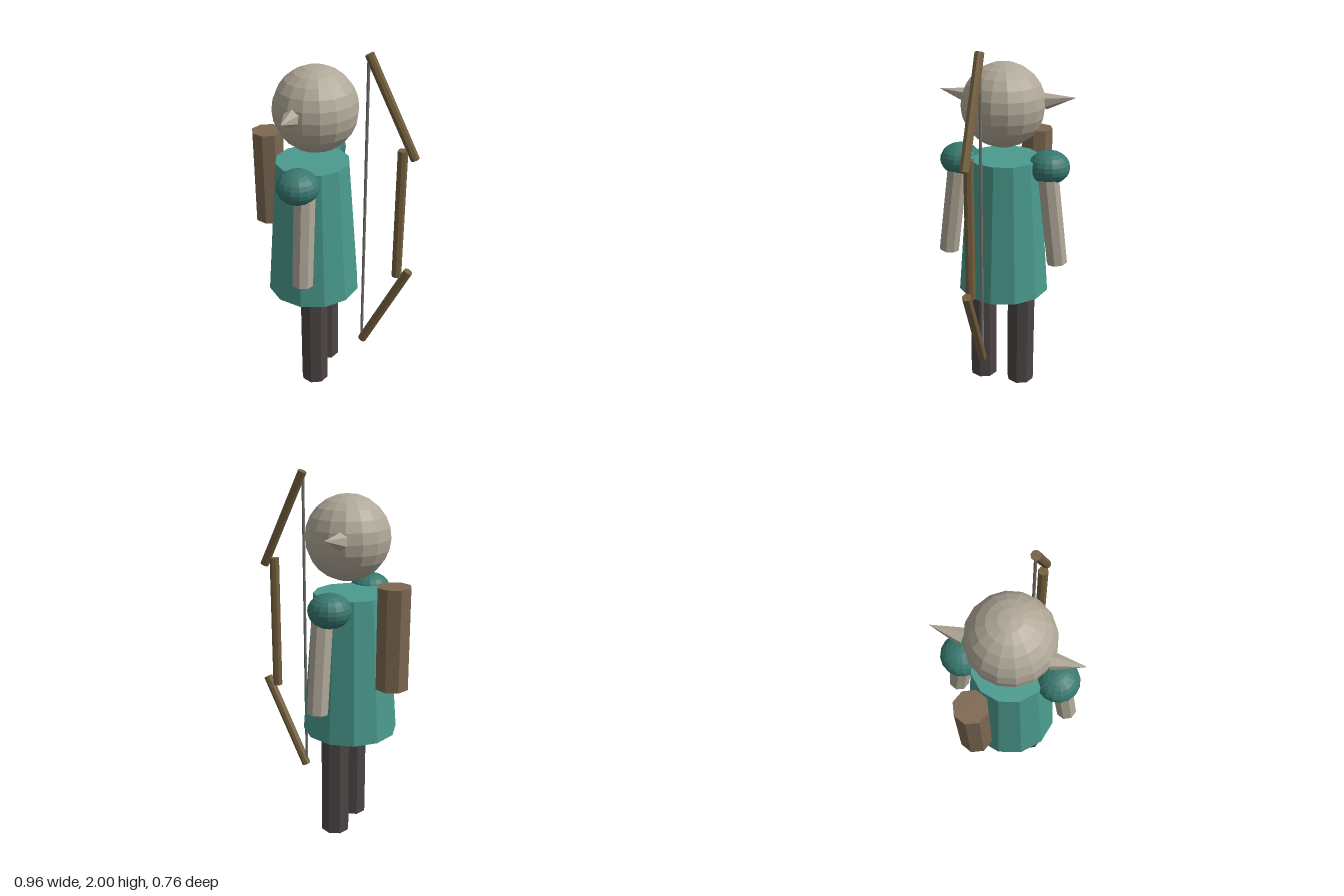
import * as THREE from 'three';

export function createModel() {
  const model = new THREE.Group();
  const material = (color) => new THREE.MeshStandardMaterial({ color, flatShading: true });
  const bone = material(0xb0a898);
  const teal = material(0x4a9a8e);
  const darkTeal = material(0x38786f);
  const charcoal = material(0x4c4644);
  const leather = material(0x7c6852);
  const wood = material(0x75603f);
  const cord = material(0x77736c);

  function add(name, geometry, mat, x, y, z) {
    const mesh = new THREE.Mesh(geometry, mat);
    mesh.name = name;
    mesh.position.set(x, y, z);
    model.add(mesh);
    return mesh;
  }

  // Cylinder or cone running from point a to point b
  function rod(name, a, b, mat, radiusA, radiusB = radiusA, sides = 8) {
    const start = new THREE.Vector3(...a);
    const end = new THREE.Vector3(...b);
    const axis = end.clone().sub(start);
    const mid = start.add(end).multiplyScalar(0.5);
    const geometry = new THREE.CylinderGeometry(radiusB, radiusA, axis.length(), sides);
    const mesh = add(name, geometry, mat, mid.x, mid.y, mid.z);
    mesh.quaternion.setFromUnitVectors(new THREE.Vector3(0, 1, 0), axis.normalize());
    return mesh;
  }

  // Head and flared tunic
  add('head', new THREE.SphereGeometry(0.225, 16, 12), bone, -0.08, 1.67, 0);
  rod('tunic', [-0.1, 0.6, 0], [-0.1, 1.38, 0], teal, 0.26, 0.2, 12);

  // Paired parts on either side
  for (const [label, s] of [['front', 1], ['back', -1]]) {
    rod(label + 'Ear', [-0.138, 1.69, s * 0.212], [-0.135, 1.72, s * 0.376], bone, 0.045, 0, 6);
    const shoulder = add(label + 'Shoulder', new THREE.SphereGeometry(0.113, 16, 12), darkTeal, -0.1, 1.343, s * 0.252);
    shoulder.scale.y = 0.8;
    rod(label + 'Arm', [-0.063, 0.8, s * 0.32], [-0.063, 1.29, s * 0.258], bone, 0.058);
    rod(label + 'Leg', [-0.065, 0, s * 0.115], [-0.065, 0.62, s * 0.115], charcoal, 0.08);
  }

  // Quiver on the back
  rod('quiver', [-0.39, 0.93, -0.11], [-0.39, 1.47, -0.11], leather, 0.09);

  // Bow: grip, two angled limbs and the string
  const z = 0.035;
  rod('bowGrip', [0.388, 0.755, z], [0.388, 1.51, z], wood, 0.027);
  rod('bowUpperLimb', [0.4525, 1.468, z], [0.2025, 1.988, z], wood, 0.025);
  rod('bowLowerLimb', [0.4525, 0.793, z], [0.2025, 0.273, z], wood, 0.025);
  rod('bowString', [0.2, 0.275, z], [0.2, 1.985, z], cord, 0.008);

  return model;
}
